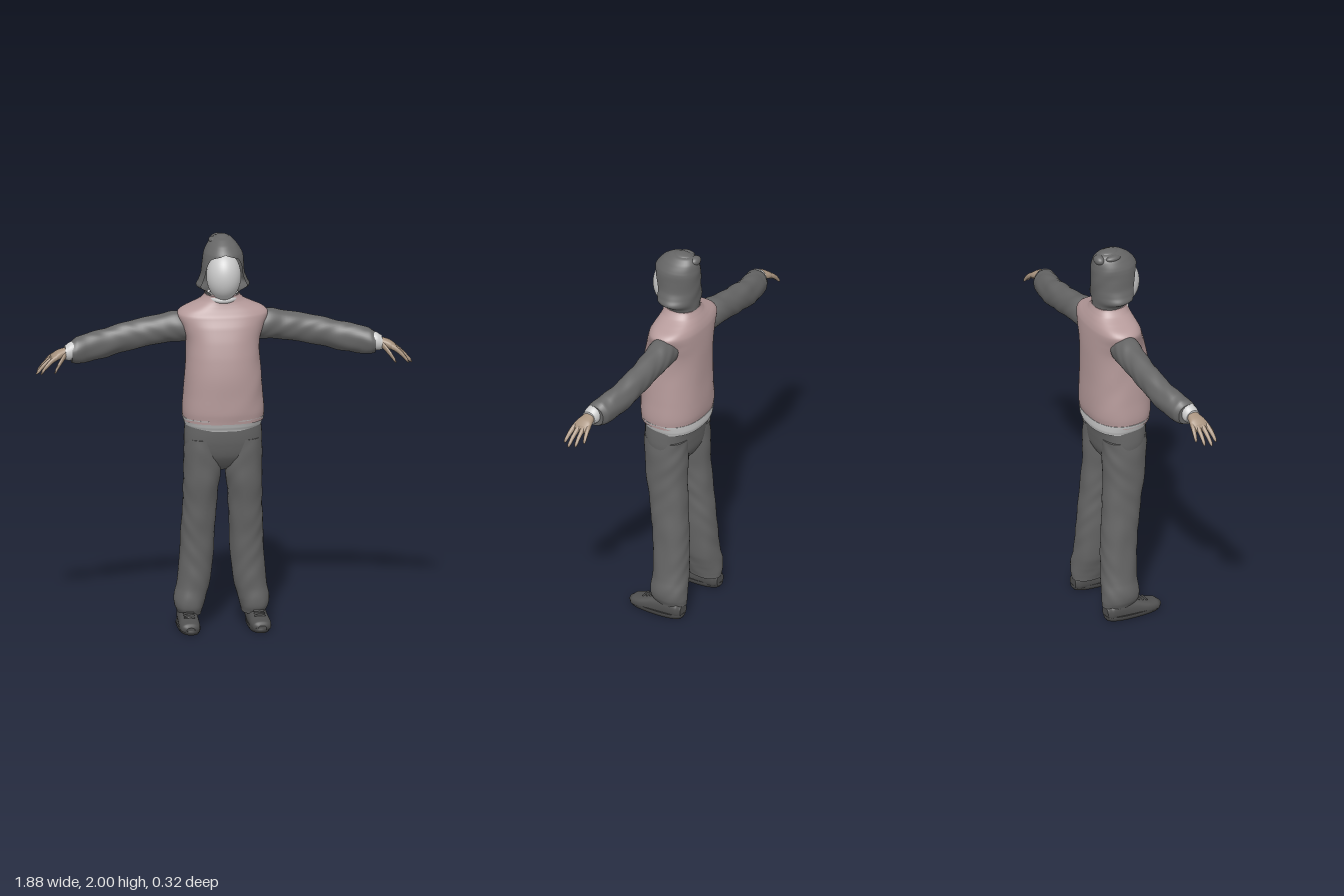
import * as THREE from 'three';
import { toCreasedNormals } from 'three/addons/utils/BufferGeometryUtils.js';

const mat = (color) => new THREE.MeshStandardMaterial({ color, side: THREE.DoubleSide });
const MAT = {
  plain: mat(0xcccccc), cloth: mat(0x666666), vest: mat(0xb59a9a),
  skin: mat(0xa8937f), shoe: mat(0x505050), sole: mat(0x444444),
};

// Smooth interpolation of section rows (Catmull-Rom on every column but the first)
function sample(rows, u) {
  const f = u * (rows.length - 1), i = Math.min(Math.floor(f), rows.length - 2), k = f - i;
  const at = (n) => rows[Math.max(0, Math.min(rows.length - 1, n))];
  return rows[0].map((_, c) => {
    const [a, b, d, e] = [at(i - 1)[c], at(i)[c], at(i + 1)[c], at(i + 2)[c]];
    if (c === 0) return b + (d - b) * k;
    return b + 0.5 * k * (d - a + k * (2 * a - 5 * b + 4 * d - e + k * (3 * (b - d) + e - a)));
  });
}

// Skin over rounded sections: [t, centre1, radius1, centre2, radius2, frontGap]
// axis y: rings in x,z;  axis x: rings in y,z;  axis z: rings in x,y
function loft(rows, { axis = 'y', seg = 40, steps = 6, power = 2, fold = 0, freq = 60, floor = -1, caps = true } = {}) {
  const open = rows[0].length > 5, n = (rows.length - 1) * steps, rings = [];
  for (let i = 0; i <= n; i++) rings.push(sample(rows, i / n));
  if (caps) {
    const point = (r) => [r[0], r[1], 0, r[3], 0, 0];
    rings.unshift(point(rings[0]));
    rings.push(point(rings[rings.length - 1]));
  }
  const pos = [], index = [], round = (v) => Math.sign(v) * Math.abs(v) ** (2 / power);
  for (const [t, c1, r1, c2, r2, g = 0] of rings) {
    const gap = Math.max(0, g);
    for (let j = 0; j <= seg; j++) {
      const a = open ? Math.PI / 2 + gap + (2 * Math.PI - 2 * gap) * (j / seg) : 2 * Math.PI * ((j % seg) / seg);
      const w = 1 + fold * Math.sin(freq * t + 2 * Math.sin(a * 2 + t * 9)) * Math.sin(a * 3 + freq * 0.3 * t);
      const p = c1 + r1 * w * round(Math.cos(a)), q = c2 + r2 * w * round(Math.sin(a));
      if (axis === 'y') pos.push(p, t, q);
      else if (axis === 'x') pos.push(t, p, q);
      else pos.push(p, Math.max(floor, q), t);
    }
  }
  for (let i = 0; i < rings.length - 1; i++) for (let j = 0; j < seg; j++) {
    const a = i * (seg + 1) + j, c = a + 1, b = a + seg + 1, d = b + 1;
    if (axis === 'y') index.push(a, b, c, c, b, d);
    else index.push(a, c, b, c, d, b);
  }
  const geo = new THREE.BufferGeometry();
  geo.setAttribute('position', new THREE.Float32BufferAttribute(pos, 3));
  geo.setIndex(index);
  geo.scale(100, 100, 100);
  return toCreasedNormals(geo, 0.9).scale(0.01, 0.01, 0.01);
}

// Copy reflected across x = 0 with corner order restored
function mirrored(geo) {
  const g = (geo.index ? geo.toNonIndexed() : geo.clone()).scale(-1, 1, 1);
  for (const { array: v } of Object.values(g.attributes)) {
    const s = v.length / g.attributes.position.count;
    for (let i = 0; i < v.length; i += 3 * s) for (let k = 0; k < s; k++) {
      [v[i + s + k], v[i + 2 * s + k]] = [v[i + 2 * s + k], v[i + s + k]];
    }
  }
  return g;
}

const ball = (x, y, z, rx, ry, rz) => new THREE.SphereGeometry(1, 40, 28).scale(rx, ry, rz).translate(x, y, z);

export function createModel() {
  const model = new THREE.Group();
  const add = (name, geo, material) => {
    const mesh = new THREE.Mesh(geo, material);
    mesh.name = name;
    model.add(mesh);
  };
  const pair = (name, geo, material) => {
    add('left' + name, geo, material);
    add('right' + name, mirrored(geo), material);
  };

  // Upper body
  add('vest', loft([
    [1.07, 0, 0.2, 0.003, 0.153], [1.12, 0, 0.203, 0.003, 0.16], [1.2, 0, 0.197, 0.003, 0.161],
    [1.3, 0, 0.19, 0.003, 0.16], [1.4, 0, 0.183, -0.003, 0.155], [1.48, 0, 0.185, -0.012, 0.147],
    [1.55, 0, 0.207, -0.022, 0.135], [1.6, 0, 0.226, -0.031, 0.122], [1.625, 0, 0.205, -0.034, 0.112],
    [1.65, 0, 0.15, -0.034, 0.102], [1.67, 0, 0.11, -0.032, 0.094], [1.7, 0, 0.085, -0.028, 0.085],
  ], { power: 2.35, fold: 0.008, freq: 16, seg: 56 }), MAT.vest);
  add('waistband', loft([
    [1.03, 0, 0.184, -0.006, 0.14], [1.05, 0, 0.192, -0.004, 0.148], [1.088, 0, 0.203, 0.002, 0.156],
  ], { power: 2.35, seg: 56 }), MAT.plain);
  add('collar', new THREE.TorusGeometry(0.07, 0.016, 12, 40).rotateX(Math.PI / 2 + 0.15)
    .translate(0, 1.69, -0.015), MAT.plain);

  // Trousers
  add('trouserSeat', loft([
    [0.81, 0, 0.05, -0.005, 0.03], [0.84, 0, 0.12, -0.004, 0.075], [0.89, 0, 0.18, 0, 0.105],
    [0.95, 0, 0.193, 0.004, 0.119], [1.0, 0, 0.193, 0.005, 0.126], [1.06, 0, 0.188, 0.002, 0.132],
  ], { power: 2.4, seg: 48 }), MAT.cloth);
  pair('TrouserLeg', loft([
    [0.065, 0.16, 0.058, -0.06, 0.085], [0.1, 0.163, 0.07, -0.055, 0.095], [0.14, 0.158, 0.078, -0.053, 0.096],
    [0.2, 0.145, 0.081, -0.052, 0.092], [0.3, 0.132, 0.083, -0.046, 0.091], [0.4, 0.125, 0.084, -0.042, 0.092],
    [0.5, 0.12, 0.084, -0.032, 0.094], [0.6, 0.115, 0.084, -0.022, 0.097], [0.7, 0.11, 0.086, -0.01, 0.102],
    [0.8, 0.104, 0.092, -0.002, 0.108], [0.9, 0.1, 0.094, 0, 0.112], [0.98, 0.1, 0.09, 0.003, 0.115],
  ], { power: 2.2, fold: 0.025, freq: 38 }), MAT.cloth);

  // Shoes
  pair('ShoeSole', loft([
    [0, 0.174, 0.05, 0.008, 0.145], [0.012, 0.174, 0.056, 0.008, 0.153], [0.024, 0.174, 0.055, 0.008, 0.151],
  ], { power: 2.5, steps: 3 }), MAT.sole);
  pair('ShoeUpper', loft([
    [-0.14, 0.17, 0.03, 0.04, 0.03], [-0.12, 0.17, 0.046, 0.045, 0.045], [-0.05, 0.171, 0.05, 0.045, 0.055],
    [0.03, 0.174, 0.051, 0.035, 0.05], [0.09, 0.177, 0.052, 0.03, 0.036], [0.135, 0.178, 0.044, 0.028, 0.027],
    [0.157, 0.178, 0.02, 0.026, 0.012],
  ], { axis: 'z', floor: 0.014, power: 2.3 }), MAT.shoe);
  for (let i = 0; i < 3; i++) {
    pair('ShoeLace' + (i + 1), new THREE.CapsuleGeometry(0.005, 0.045, 4, 10).rotateZ(Math.PI / 2)
      .translate(0.175, 0.083 - i * 0.007, 0.035 + i * 0.02), MAT.shoe);
  }

  // Sleeves and cuffs
  pair('Sleeve', loft([
    [0.17, 1.53, 0.07, -0.042, 0.068], [0.23, 1.533, 0.077, -0.046, 0.07], [0.3, 1.522, 0.074, -0.048, 0.064],
    [0.4, 1.503, 0.074, -0.047, 0.059], [0.5, 1.484, 0.074, -0.043, 0.058], [0.6, 1.458, 0.074, -0.03, 0.059],
    [0.68, 1.446, 0.072, -0.012, 0.06], [0.73, 1.437, 0.066, 0, 0.061], [0.757, 1.432, 0.054, 0.008, 0.052],
  ], { axis: 'x', fold: 0.035, freq: 45 }), MAT.cloth);
  pair('Cuff', loft([
    [0.735, 1.445, 0.045, 0.012, 0.042], [0.765, 1.438, 0.046, 0.017, 0.042], [0.79, 1.432, 0.036, 0.02, 0.036],
  ], { axis: 'x', steps: 4 }), MAT.plain);

  // Hands: palm, four fingers and thumb
  pair('Palm', loft([
    [0.765, 1.437, 0.026, 0.019, 0.028], [0.8, 1.431, 0.024, 0.021, 0.034], [0.83, 1.421, 0.023, 0.023, 0.043],
    [0.855, 1.407, 0.019, 0.024, 0.043], [0.866, 1.4, 0.011, 0.024, 0.036],
  ], { axis: 'x', power: 2.3, seg: 28 }), MAT.skin);
  const fingers = [ // base z, tip x, tip y, tip z
    ['LittleFinger', -0.01, 0.9, 1.358, -0.022], ['RingFinger', 0.012, 0.928, 1.342, 0.012],
    ['MiddleFinger', 0.035, 0.938, 1.335, 0.047], ['IndexFinger', 0.057, 0.918, 1.342, 0.08],
  ];
  const digit = (x0, y0, z0, x1, y1, z1, bow, r) => loft([0, 0.35, 0.7, 0.93, 1].map((k, i) => {
    const s = r * [1, 0.97, 0.85, 0.65, 0.2][i];
    return [x0 + (x1 - x0) * k, y0 + (y1 - y0) * k + bow * Math.sin(k * Math.PI), s * 1.35, z0 + (z1 - z0) * k, s];
  }), { axis: 'x', seg: 14, steps: 4 });
  for (const [name, z, tx, ty, tz] of fingers) pair(name, digit(0.835, 1.416, z, tx, ty, tz, 0.01, 0.0115), MAT.skin);
  pair('Thumb', digit(0.785, 1.428, 0.04, 0.852, 1.35, 0.1, 0.006, 0.0135), MAT.skin);

  // Head
  add('neck', new THREE.CylinderGeometry(0.06, 0.065, 0.14, 32).translate(0, 1.69, -0.02), MAT.plain);
  add('face', ball(0, 1.802, 0.035, 0.086, 0.122, 0.097), MAT.plain);

  // Hood: open at the face, flared beside the jaw, gathered at the crown
  add('hood', loft([
    [1.685, 0, 0.082, -0.03, 0.082, 0.75], [1.715, 0, 0.092, -0.028, 0.086, 0.85],
    [1.745, 0, 0.132, -0.012, 0.103, 1.02], [1.775, 0, 0.122, -0.004, 0.112, 1.05],
    [1.81, 0, 0.109, 0, 0.117, 1.05], [1.86, 0, 0.104, 0, 0.12, 0.95],
    [1.9, 0, 0.1, -0.002, 0.119, 0.7], [1.925, 0, 0.092, -0.005, 0.113, 0],
    [1.96, 0, 0.071, -0.016, 0.095, 0], [1.985, 0, 0.046, -0.025, 0.066, 0], [1.998, 0, 0.014, -0.03, 0.024, 0],
  ], { seg: 48, fold: 0.015, freq: 40, caps: false }), MAT.cloth);
  add('hoodCrown', ball(0, 1.985, -0.03, 0.035, 0.015, 0.05), MAT.cloth);
  add('hoodGather', ball(-0.015, 1.965, -0.092, 0.035, 0.024, 0.026), MAT.cloth);
  add('hoodFold', ball(-0.045, 1.972, -0.03, 0.022, 0.016, 0.04), MAT.cloth);
  return model;
}
